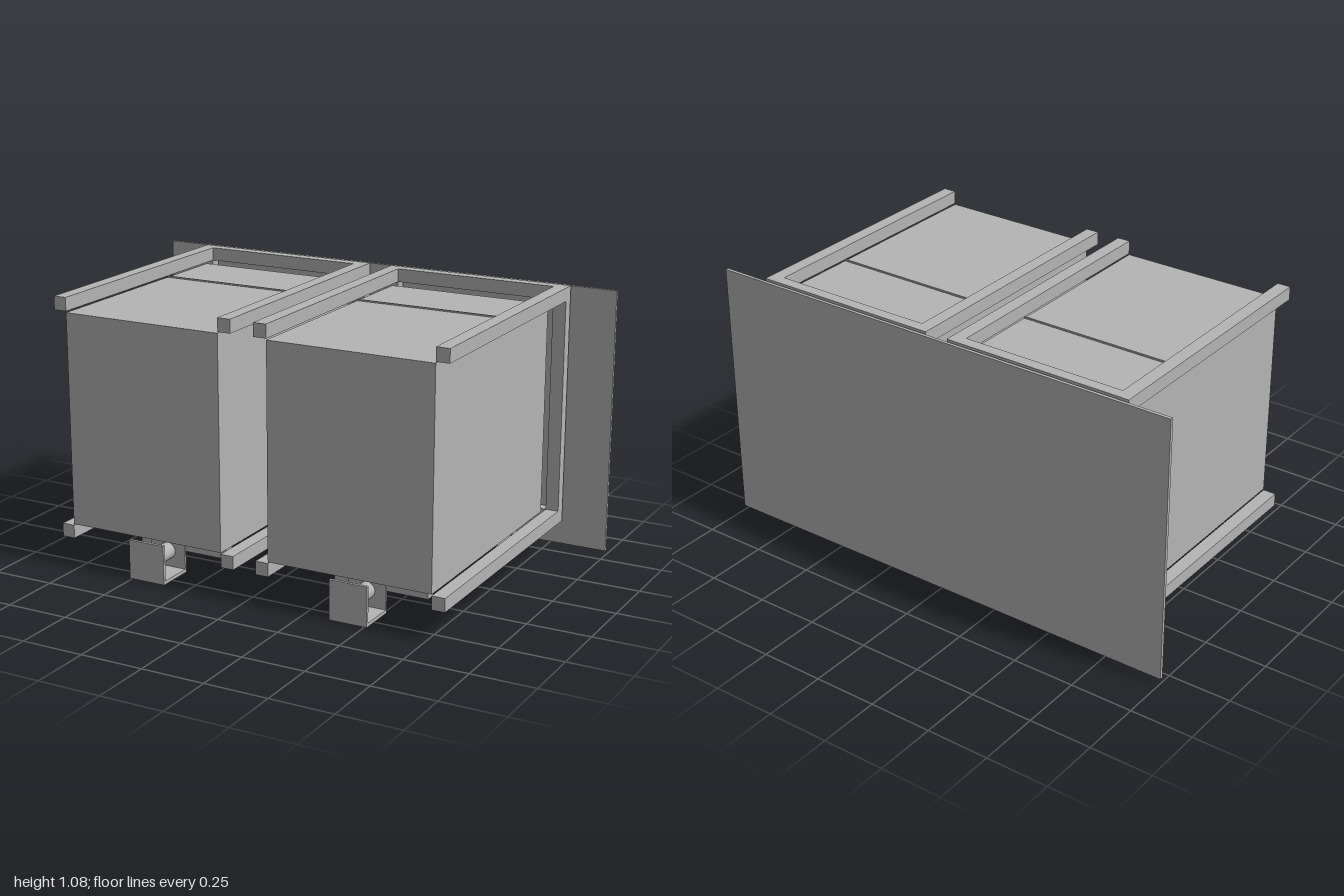
import * as THREE from 'three';

export function createModel() {
  const model = new THREE.Group();
  const gray = new THREE.MeshStandardMaterial({ color: 0xb4b4b4 });
  gray.name = 'plain gray';

  // Box given by its limits on each axis
  function box(parent, name, x0, x1, y0, y1, z0, z1) {
    const m = new THREE.Mesh(new THREE.BoxGeometry(x1 - x0, y1 - y0, z1 - z0), gray);
    m.position.set((x0 + x1) / 2, (y0 + y1) / 2, (z0 + z1) / 2);
    m.name = name;
    parent.add(m);
    return m;
  }

  // Round bar along z
  function rod(parent, name, x, y, r, z0, z1) {
    const g = new THREE.CylinderGeometry(r, r, z1 - z0, 32).rotateX(Math.PI / 2);
    const m = new THREE.Mesh(g, gray);
    m.position.set(x, y, (z0 + z1) / 2);
    m.name = name;
    parent.add(m);
    return m;
  }

  // One drawer bay, built around its own centre line
  function bay(cx) {
    const g = new THREE.Group();
    g.name = 'bay';
    g.position.x = cx;

    box(g, 'cabinet', -0.332, 0.332, 0.18, 1.02, -0.44, 0.56);
    box(g, 'topRidge', -0.332, 0.332, 1.02, 1.026, -0.143, -0.137);

    // Outer frame: four long rails, two posts, two cross beams
    for (const s of [-1, 1]) {
      const a = s < 0 ? -0.385 : 0.332, b = a + 0.053;
      box(g, 'topRail', a, b, 1.025, 1.078, -0.535, 0.56);
      box(g, 'bottomRail', a, b, 0.122, 0.175, -0.535, 0.56);
      box(g, 'rearPost', a, b, 0.175, 1.025, -0.535, -0.49);
    }
    box(g, 'topCrossBeam', -0.332, 0.332, 1.025, 1.078, -0.535, -0.49);
    box(g, 'bottomCrossBeam', -0.332, 0.332, 0.122, 0.175, -0.535, -0.49);

    // Rear plate with its round mount and vertical strips
    box(g, 'rearPlate', -0.31, 0.31, 0.22, 0.995, -0.468, -0.455);
    rod(g, 'rearMount', 0, 0.6, 0.075, -0.456, -0.44);
    for (const [x, w] of [[-0.145, 0.04], [0, 0.11], [0.145, 0.04]]) {
      box(g, 'rearStrip', x - w / 2, x + w / 2, 0.215, 0.98, -0.49, -0.468);
    }

    // Bracket joining the carriage to the cabinet
    box(g, 'bracketFoot', -0.17, 0.17, 0.12, 0.18, -0.468, -0.365);
    box(g, 'bracketLip', -0.17, 0.17, 0.18, 0.22, -0.468, -0.44);

    // Screw drive with bearing blocks and carriage
    for (const [name, z0, z1] of [
      ['frontBearing', 0.255, 0.297], ['carriage', -0.468, -0.34], ['rearBearing', -0.535, -0.49]]) {
      box(g, name, -0.195, 0.195, 0.042, 0.122, z0, z1);
    }
    rod(g, 'leadScrew', 0, 0.082, 0.011, -0.545, 0.41);
    for (const x of [-0.11, 0.11]) rod(g, 'guideRod', x, 0.082, 0.011, -0.5, 0.26);
    rod(g, 'screwNut', 0, 0.082, 0.022, -0.49, -0.468);
    rod(g, 'endKnob', 0, 0.082, 0.016, -0.548, -0.535);
    rod(g, 'screwCollar', 0, 0.082, 0.012, 0.297, 0.315);
    rod(g, 'coupling', 0, 0.082, 0.025, 0.32, 0.385);
    rod(g, 'motor', 0, 0.082, 0.033, 0.41, 0.54);

    // U-shaped motor holder
    box(g, 'holderFront', -0.077, 0.077, 0.003, 0.16, 0.548, 0.56);
    box(g, 'holderBase', -0.077, 0.077, 0.003, 0.017, 0.40, 0.548);
    box(g, 'holderBack', -0.077, 0.077, 0.017, 0.16, 0.40, 0.408);
    model.add(g);
  }
  bay(-0.433);
  bay(0.433);

  // Full-width rear panel
  box(model, 'rearPanel', -1, 1, 0.022, 1.075, -0.56, -0.547);

  // Crossed plates between the bays
  for (const s of [-1, 1]) {
    const m = box(model, 'crossPlate', -0.112, 0.112, 0.37, 0.84, -0.356, -0.35);
    m.rotation.y = s * 0.43;
  }

  // Rest the holders on the ground and centre front to back
  for (const child of model.children) child.position.y -= 0.003;
  return model;
}
